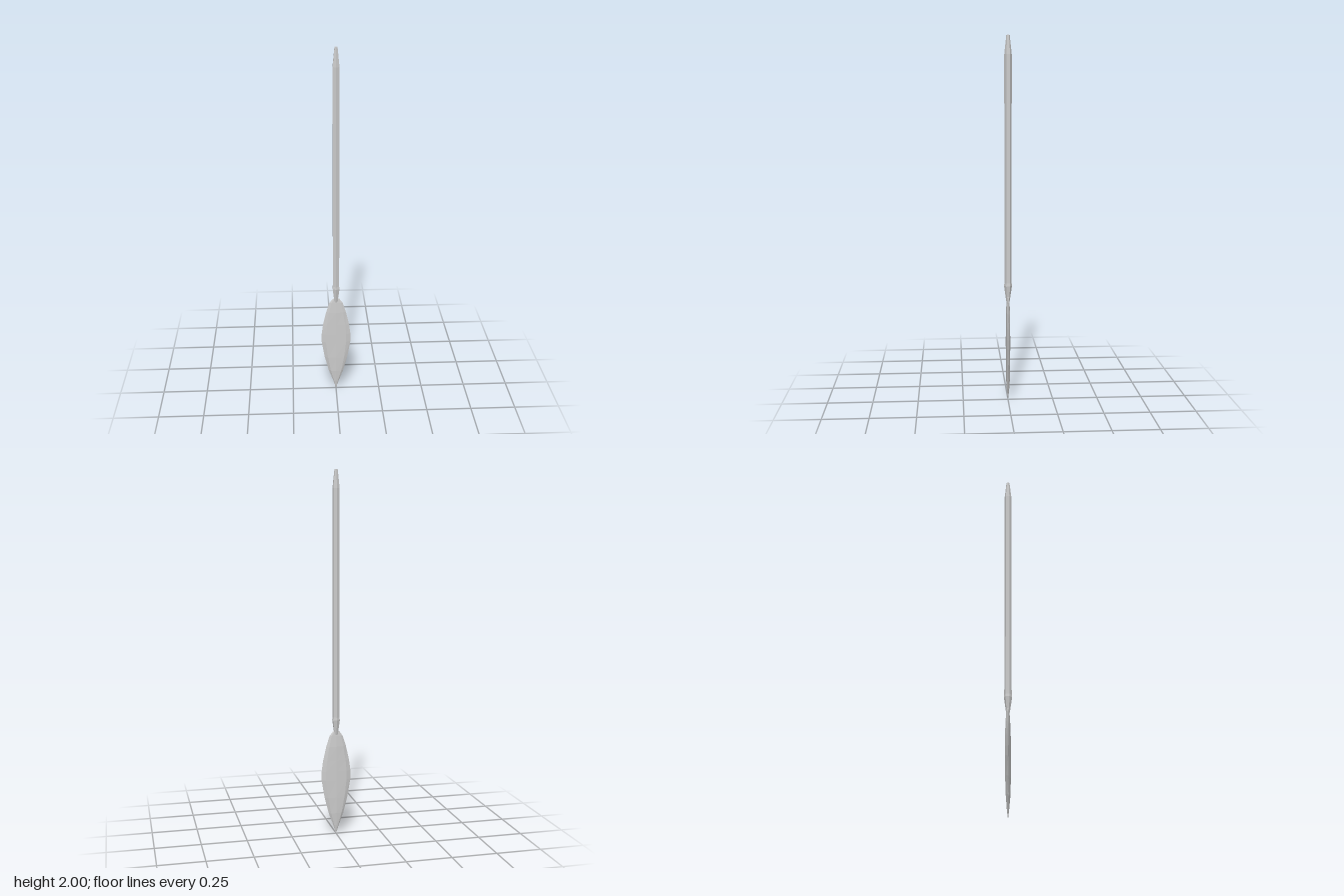
import * as THREE from 'three';

const material = new THREE.MeshStandardMaterial({ color: 0xcccccc, flatShading: true });

// Six-sided shaft: narrow neck, flared collar, straight pole, tapered butt
function createShaft() {
  const profile = [
    [0, 0.565], [0.01, 0.565], [0.022, 0.65], [0.02, 0.665],
    [0.02, 1.9], [0.009, 2], [0, 2],
  ].map(([r, y]) => new THREE.Vector2(r, y));
  const shaft = new THREE.Mesh(new THREE.LatheGeometry(profile, 6), material);
  shaft.name = 'shaft';
  return shaft;
}

// Leaf-shaped blade: an eight-sided tube whose rings follow the outline
function createBlade() {
  // height, half width, half thickness, from neck to point
  const rings = [
    [0.59, 0, 0], [0.585, 0.018, 0.006], [0.56, 0.037, 0.008],
    [0.5, 0.056, 0.0115], [0.42, 0.074, 0.012], [0.36, 0.082, 0.0125],
    [0.31, 0.082, 0.0125], [0.21, 0.065, 0.0125], [0.12, 0.042, 0.011],
    [0.05, 0.016, 0.006], [0, 0, 0],
  ];
  const last = rings.length - 1;
  const geometry = new THREE.CylinderGeometry(1, 1, 1, 8, last, true);
  const p = geometry.attributes.position;
  for (let i = 0; i < p.count; i++) {
    const [y, width, thickness] = rings[Math.round((0.5 - p.getY(i)) * last)];
    p.setXYZ(i, p.getX(i) * width, y, p.getZ(i) * thickness);
  }
  geometry.computeVertexNormals();
  const blade = new THREE.Mesh(geometry, material);
  blade.name = 'blade';
  return blade;
}

export function createModel() {
  const paddle = new THREE.Group();
  paddle.name = 'paddle';
  paddle.add(createShaft(), createBlade());
  return paddle;
}
